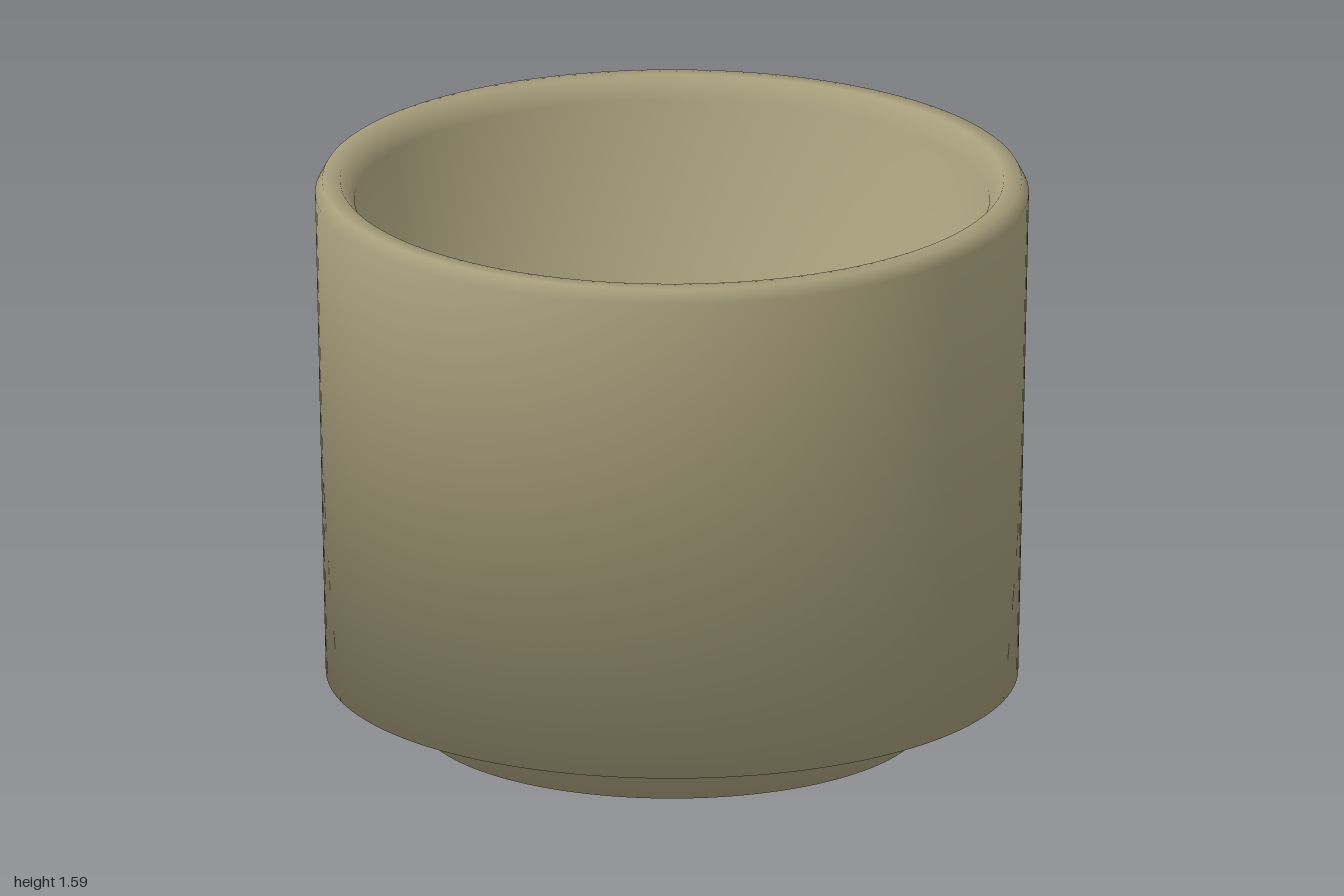
import * as THREE from 'three';

// Lathe whose corner normals are the even average of the two neighbouring faces
function softLathe(profile, segments) {
  const pts = profile.map(([r, y]) => new THREE.Vector2(r, y));
  const geometry = new THREE.LatheGeometry(pts, segments);
  const faceNormals = pts.slice(1).map((p, i) => {
    const d = p.clone().sub(pts[i]).normalize();
    return new THREE.Vector2(d.y, -d.x);
  });
  const last = faceNormals.length - 1;
  const normals = pts.map((p, i) => {
    // poles on the axis keep a straight vertical normal
    if (i === 0) return faceNormals[0];
    if (i > last) return faceNormals[last];
    return faceNormals[i - 1].clone().add(faceNormals[i]).normalize();
  });
  const attribute = geometry.getAttribute('normal');
  for (let s = 0; s <= segments; s++) {
    const phi = (s / segments) * Math.PI * 2;
    normals.forEach((n, j) => {
      attribute.setXYZ(s * pts.length + j, n.x * Math.sin(phi), n.y, n.x * Math.cos(phi));
    });
  }
  return geometry;
}

export function createModel() {
  const clay = new THREE.MeshStandardMaterial({ color: 0xa69d7a });
  clay.name = 'olive clay';

  const profile = [
    [0, 0], [0.71, 0], [0.71, 0.105],          // foot
    [0.97, 0.145], [1.0, 1.555],               // underside and outer wall
    [0.98, 1.592], [0.93, 1.592],              // rim
    [0.89, 1.535], [0.7, 0.2], [0, 0.2],       // tapering inner wall and floor
  ];
  const cup = new THREE.Mesh(softLathe(profile, 128), clay);
  cup.name = 'cup';

  const model = new THREE.Group();
  model.name = 'footedCup';
  model.add(cup);
  return model;
}
